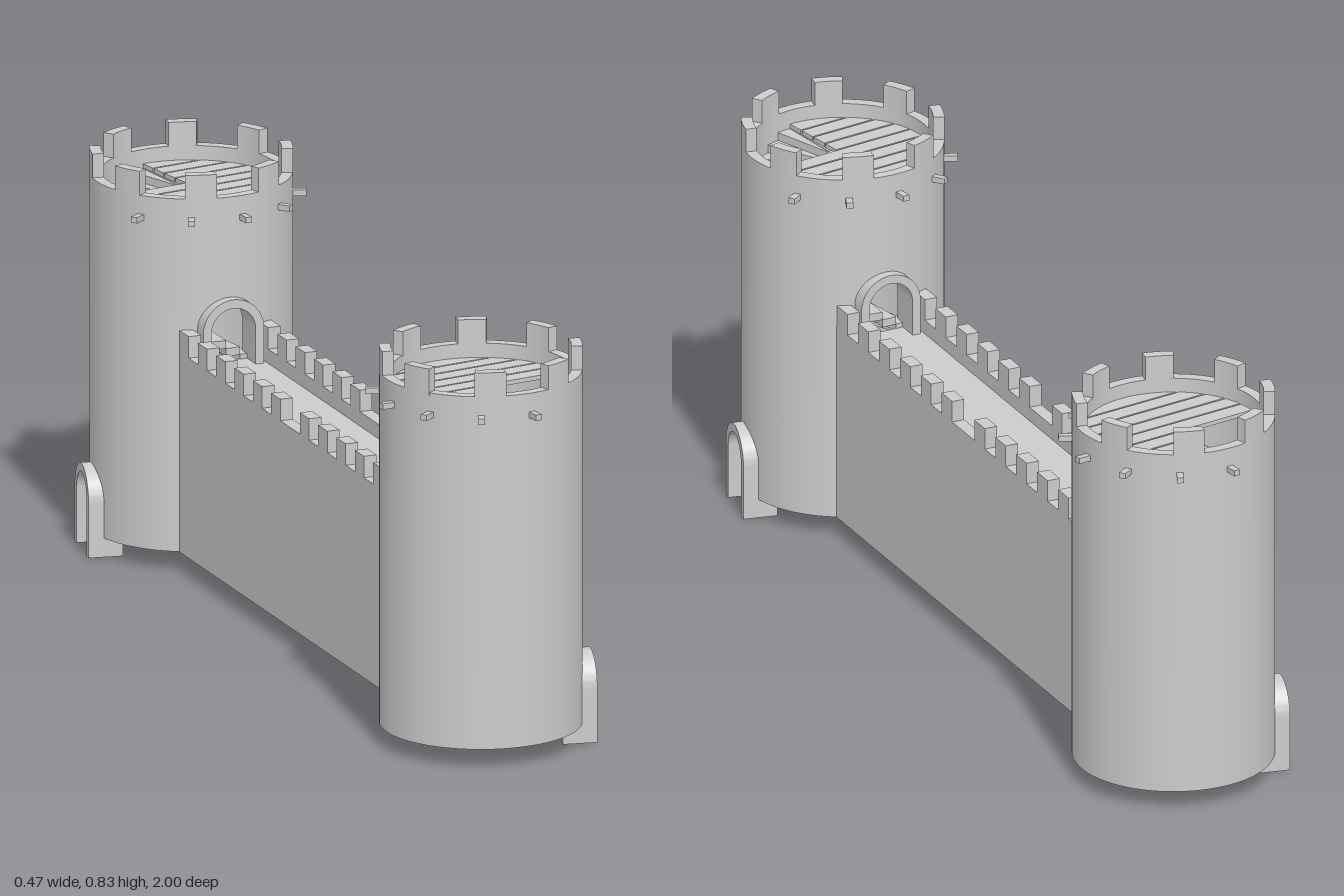
import * as THREE from 'three';
import { mergeGeometries, toCreasedNormals } from 'three/addons/utils/BufferGeometryUtils.js';

const material = new THREE.MeshStandardMaterial({ color: 0xcccccc });
const rad = THREE.MathUtils.degToRad;

const R = 0.205, RI = 0.182;          // tower outer and inner radius
const BASE = 0.04, TOP = 0.78;        // tower wall bottom and top
const TOWER_Z = 0.77;
const DOOR = { hw: 0.066, inner: 0.048, height: 0.18 };
// angle is measured from +x towards -z, y is the foot of the frame
const DOORS = [
  { name: 'entranceArch', angle: -10, y: 0, sill: BASE },
  { name: 'walkwayArch', angle: 90, y: 0.39, sill: 0.43 },
];

function add(parent, name, geometry) {
  const mesh = new THREE.Mesh(geometry, material);
  mesh.name = name;
  parent.add(mesh);
  return mesh;
}

function box(x0, x1, y0, y1, z0, z1) {
  return new THREE.BoxGeometry(x1 - x0, y1 - y0, z1 - z0)
    .translate((x0 + x1) / 2, (y0 + y1) / 2, (z0 + z1) / 2);
}

// Flat outline raised between two heights; outline y becomes -z
function slab(shape, y0, y1) {
  return new THREE.ExtrudeGeometry(shape, { depth: y1 - y0, bevelEnabled: false, curveSegments: 6 })
    .rotateX(-Math.PI / 2).translate(0, y0, 0);
}

// Block following the tower's curve between two angles
function arcBlock(a0, a1, r0, r1, y0, y1) {
  const shape = new THREE.Shape();
  shape.absarc(0, 0, r1, rad(a0), rad(a1), false);
  shape.absarc(0, 0, r0, rad(a1), rad(a0), true);
  return slab(shape, y0, y1);
}

// Round wall in narrow columns, left open where a door passes through
function towerWall() {
  const pos = [];
  const quad = (a, b, c, d) => [a, b, c, a, c, d].forEach(p => pos.push(...p));
  const at = (a, r, y) => [r * Math.cos(rad(a)), y, -r * Math.sin(rad(a))];
  const column = (a, b, loA, loB, hi) => {
    quad(at(a, R, loA), at(b, R, loB), at(b, R, hi), at(a, R, hi));
    quad(at(b, RI, loB), at(a, RI, loA), at(a, RI, hi), at(b, RI, hi));
    quad(at(a, R, hi), at(b, R, hi), at(b, RI, hi), at(a, RI, hi));
    quad(at(a, RI, loA), at(b, RI, loB), at(b, R, loB), at(a, R, loA));
  };
  const cut = 0.057, step = 2;
  for (let a = 0; a < 360; a += step) {
    const b = a + step;
    const offset = (angle, d) => R * Math.sin(rad(angle - d.angle));
    const door = DOORS.find(d => Math.cos(rad(a + 1 - d.angle)) > 0
      && Math.abs(offset(a + 1, d)) < cut);
    if (!door) { column(a, b, BASE, BASE, TOP); continue; }
    const crown = angle => door.y + DOOR.height - DOOR.hw
      + Math.sqrt(Math.max(0, cut * cut - offset(angle, door) ** 2));
    column(a, b, crown(a), crown(b), TOP);
    if (door.sill > BASE) column(a, b, BASE, BASE, door.sill);
  }
  const g = new THREE.BufferGeometry();
  g.setAttribute('position', new THREE.Float32BufferAttribute(pos, 3));
  return toCreasedNormals(g, 0.5);
}

// Arched door frame with open foot
function archFrame() {
  const spring = DOOR.height - DOOR.hw;
  const s = new THREE.Shape();
  s.moveTo(DOOR.hw, 0);
  s.lineTo(DOOR.hw, spring);
  s.absarc(0, spring, DOOR.hw, 0, Math.PI, false);
  s.lineTo(-DOOR.hw, 0);
  s.lineTo(-DOOR.inner, 0);
  s.lineTo(-DOOR.inner, spring);
  s.absarc(0, spring, DOOR.inner, Math.PI, 0, true);
  s.lineTo(DOOR.inner, 0);
  const g = new THREE.ExtrudeGeometry(s, { depth: 0.071, bevelEnabled: false, curveSegments: 16 });
  return toCreasedNormals(g.translate(0, 0, 0.155).rotateY(Math.PI / 2), 0.5);
}

// Plank floor inside the wall, with one quarter open for the stairs
function plankFloor() {
  const rows = 9, r = 0.184, pitch = 2 * r / rows, planks = [];
  for (let i = 0; i < rows; i++) {
    const v0 = -r + i * pitch + 0.002, v1 = v0 + pitch - 0.004;
    const open = (v0 + v1) / 2 < -0.01;
    const left = [], right = [];
    for (let k = 0; k <= 6; k++) {
      const v = v0 + (v1 - v0) * k / 6, half = Math.sqrt(r * r - v * v);
      left.push(new THREE.Vector2(-half, v));
      right.push(new THREE.Vector2(open ? 0 : half, v));
    }
    planks.push(slab(new THREE.Shape([...right, ...left.reverse()]), 0.741, 0.75));
  }
  return mergeGeometries(planks).rotateY(rad(10));
}

function createTower() {
  const tower = new THREE.Group();
  add(tower, 'towerWall', towerWall());

  // Battlements
  for (let i = 0; i < 8; i++) {
    const a = 28.3 + i * 45;
    add(tower, 'towerMerlon', toCreasedNormals(arcBlock(a - 9, a + 9, RI, R, TOP - 0.005, 0.83), 0.5));
  }

  // Door frames
  for (const d of DOORS) {
    const arch = add(tower, d.name, archFrame());
    arch.position.y = d.y;
    arch.rotation.y = rad(d.angle);
  }

  // Floor and the beams that carry it through the wall
  add(tower, 'plankFloor', plankFloor());
  for (let k = 0; k < 9; k++) {
    const beam = add(tower, 'floorBeam', box(0.02, 0.232, 0.729, 0.741, -0.007, 0.007));
    beam.rotation.y = rad(-82 - 30 * k);
  }

  // Spiral stairs around a central pillar
  add(tower, 'stairPillar', new THREE.CylinderGeometry(0.035, 0.035, 0.705, 32).translate(0, 0.3925, 0));
  const steps = 42, rise = 0.7 / steps;
  for (let i = 0; i < steps; i++) {
    const a = -20 - i * 10, y = BASE + i * rise;
    add(tower, 'stairStep', arcBlock(a - 10, a, 0.03, RI + 0.003, y, y + rise));
  }
  return tower;
}

function createCurtainWall() {
  const wall = new THREE.Group();
  wall.name = 'curtainWall';
  for (const side of [-1, 1]) {
    const x0 = side > 0 ? 0.073 : -0.1, x1 = x0 + 0.027;
    add(wall, 'wallSide', box(x0, x1, BASE, 0.46, -0.589, 0.589));
    // Battlements, mirrored about the middle
    for (let i = 0; i < 6; i++) {
      for (const end of [-1, 1]) {
        const z = end * (0.076 + i * 0.0975);
        add(wall, 'wallMerlon', box(x0, x1, 0.455, 0.505, z - 0.0243, z + 0.0243));
      }
    }
  }
  add(wall, 'walkway', box(-0.074, 0.074, 0.4, 0.43, -0.58, 0.58));
  return wall;
}

export function createModel() {
  const model = new THREE.Group();
  model.name = 'castleWall';
  const front = createTower();
  front.name = 'frontTower';
  front.position.z = TOWER_Z;
  const back = createTower();
  back.name = 'backTower';
  back.position.z = -TOWER_Z;
  back.rotation.y = Math.PI;
  model.add(front, back, createCurtainWall());
  return model;
}
